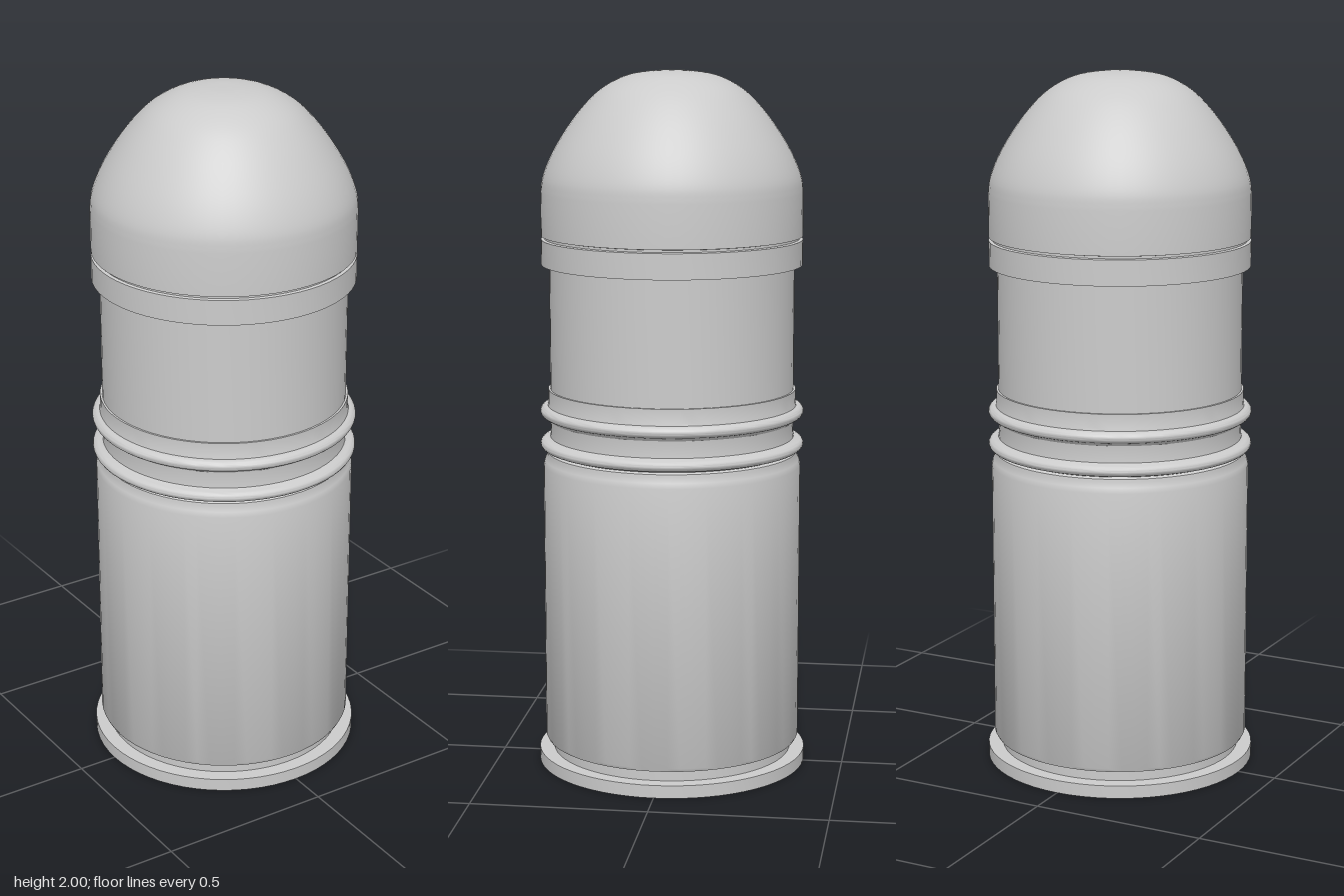
import * as THREE from 'three';
import { toCreasedNormals } from 'three/addons/utils/BufferGeometryUtils.js';

const material = new THREE.MeshStandardMaterial({ color: 0xcccccc });

// Revolve a [radius, height] profile, listed from bottom to top
function turned(name, profile) {
  const points = profile.map(([r, y]) => new THREE.Vector2(r, y));
  const geometry = toCreasedNormals(new THREE.LatheGeometry(points, 64), 0.55);
  const mesh = new THREE.Mesh(geometry, material);
  mesh.name = name;
  return mesh;
}

// Rounded bead profile bulging outwards around height y
function bead(inner, outer, y, half) {
  const points = [];
  for (let i = 0; i <= 10; i++) {
    const a = -Math.PI / 2 + (Math.PI * i) / 10;
    points.push([inner + (outer - inner) * Math.cos(a), y + half * Math.sin(a)]);
  }
  return points;
}

export function createModel() {
  const model = new THREE.Group();
  model.name = 'cartridge';

  // Rim with a shallow ring groove around the primer, and extraction groove
  model.add(turned('rim', [
    [0, 0], [0.083, 0], [0.083, 0.008], [0.097, 0.008], [0.097, 0],
    [0.387, 0], [0.387, 0.037], [0.345, 0.037], [0.345, 0.08],
  ]));

  // Straight case with bevelled shoulder
  model.add(turned('case', [
    [0.345, 0.07], [0.364, 0.07], [0.369, 0.08], [0.369, 0.88],
    [0.365, 0.895], [0.357, 0.91], [0.357, 0.918], [0.345, 0.925],
  ]));

  // Two drive bands with a waist between them, and the collar above
  model.add(turned('driveBands', [
    [0.34, 0.918],
    ...bead(0.356, 0.377, 0.942, 0.016),
    [0.349, 0.962], [0.347, 0.985], [0.349, 1.01],
    ...bead(0.356, 0.377, 1.036, 0.017),
    [0.354, 1.06], [0.354, 1.1], [0.34, 1.1],
  ]));

  // Projectile body
  model.add(turned('projectileBody', [[0.348, 1.09], [0.348, 1.46]]));

  // Band under the nose, with a thin groove above it
  model.add(turned('noseBand', [
    [0.34, 1.456], [0.371, 1.456], [0.371, 1.528], [0.362, 1.53], [0.362, 1.54],
  ]));

  // Rounded nose
  const dome = new THREE.CatmullRomCurve3([
    [0.371, 1.66], [0.366, 1.7], [0.345, 1.756], [0.308, 1.822],
    [0.256, 1.893], [0.2, 1.948], [0.13, 1.985], [0.06, 1.998], [0, 2],
  ].map(([r, y]) => new THREE.Vector3(r, y, 0)));
  model.add(turned('nose', [
    [0.36, 1.536], [0.371, 1.538],
    ...dome.getPoints(32).map((p) => [Math.max(p.x, 0), Math.min(p.y, 2)]),
  ]));

  return model;
}
